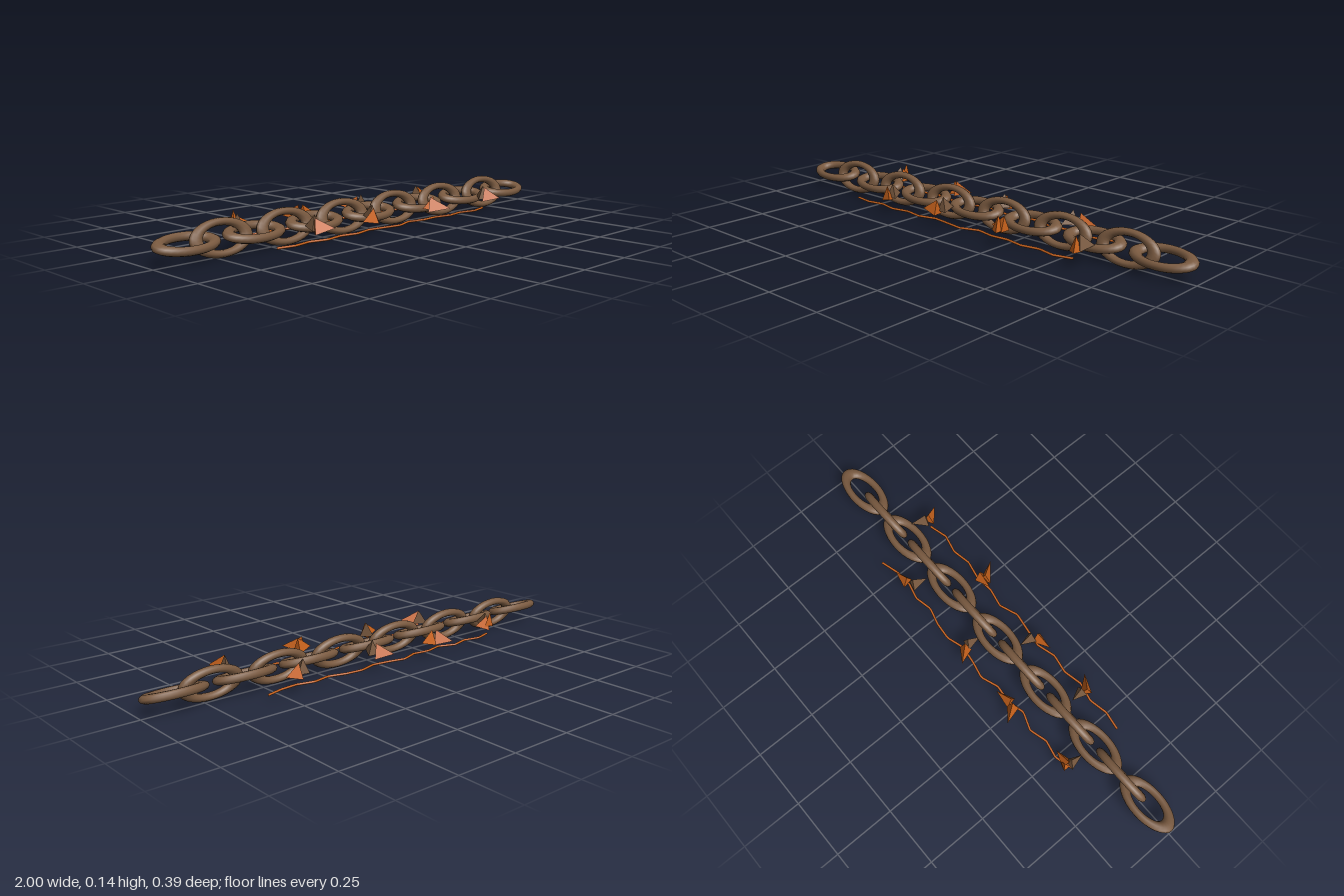
import * as THREE from 'three';

const iron = new THREE.MeshStandardMaterial({ color: 0x7a5a40 });
iron.name = 'weathered iron';
const rust = new THREE.MeshStandardMaterial({ color: 0xc8621c });
rust.name = 'rust';
// faceted versions of the same two colours for the barbs
const ironFacet = iron, rustFacet = rust;

// A sharp flat-faced shard from a base centre to a tip
function shard(base, tip, material, radius = 0.036) {
  const a = new THREE.Vector3(...base), b = new THREE.Vector3(...tip);
  const dir = b.clone().sub(a), length = dir.length();
  dir.normalize();
  // a tall, narrow three-sided section, kept upright around its axis
  let up = new THREE.Vector3(0, 1, 0);
  if (Math.abs(dir.y) > 0.8) up.set(1, 0, 0);
  const side = new THREE.Vector3().crossVectors(dir, up).normalize();
  up = new THREE.Vector3().crossVectors(side, dir);
  const geo = new THREE.ConeGeometry(radius, length, 3).toNonIndexed();
  geo.scale(0.75, 1, 1.1);
  geo.translate(0, length / 2, 0);
  geo.applyMatrix4(new THREE.Matrix4().makeBasis(side, dir, up.clone()).setPosition(a));
  // restore outward winding if the basis is mirrored
  if (new THREE.Matrix4().makeBasis(side, dir, up).determinant() < 0) {
    const p = geo.attributes.position;
    const u = new THREE.Vector3(), v = new THREE.Vector3();
    for (let i = 0; i < p.count; i += 3) {
      u.fromBufferAttribute(p, i + 1);
      v.fromBufferAttribute(p, i + 2);
      p.setXYZ(i + 1, v.x, v.y, v.z);
      p.setXYZ(i + 2, u.x, u.y, u.z);
    }
  }
  geo.computeVertexNormals();
  const mesh = new THREE.Mesh(geo, material);
  mesh.name = 'barb';
  return mesh;
}

// A thin kinked wire lying beside the chain
function wire(zs, name) {
  const path = new THREE.CurvePath();
  const pts = zs.map((z, i) => new THREE.Vector3(-0.577 + (1.154 * i) / (zs.length - 1), 0.026, z));
  for (let i = 1; i < pts.length; i++) path.add(new THREE.LineCurve3(pts[i - 1], pts[i]));
  const mesh = new THREE.Mesh(new THREE.TubeGeometry(path, 90, 0.005, 6), rust);
  mesh.name = name;
  return mesh;
}

export function createModel() {
  const model = new THREE.Group();
  model.name = 'barbedChain';

  // Chain of oval links, alternately lying and standing
  const chain = new THREE.Group();
  chain.name = 'chain';
  const linkGeo = new THREE.TorusGeometry(0.107, 0.027, 10, 32);
  linkGeo.scale(1, 0.525, 0.63);
  for (let i = -6; i <= 6; i++) {
    const link = new THREE.Mesh(linkGeo, iron);
    link.name = 'link';
    link.position.set(i * 0.1443, 0.0685, 0);
    link.rotation.x = THREE.MathUtils.degToRad(i % 2 ? -15 : 105);
    chain.add(link);
  }
  model.add(chain);

  // Front and back wires
  model.add(wire([0.122, 0.135, 0.12, 0.138, 0.122, 0.136, 0.115, 0.126, 0.138, 0.11,
    0.126, 0.12, 0.136, 0.122, 0.14, 0.12], 'frontWire'));
  model.add(wire([-0.115, -0.136, -0.12, -0.14, -0.112, -0.13, -0.12, -0.146, -0.13,
    -0.12, -0.142, -0.135, -0.115, -0.13, -0.112, -0.118, -0.138], 'backWire'));

  // Barb clusters: base, tip, colour
  const barbs = [
    // front side
    [[-0.38, 0.08, 0.11], [-0.385, 0.07, 0.055], ironFacet],
    [[-0.395, 0.07, 0.12], [-0.335, 0.07, 0.165], rustFacet],
    [[-0.085, 0.08, 0.11], [-0.08, 0.07, 0.05], ironFacet],
    [[-0.095, 0.07, 0.125], [-0.165, 0.065, 0.135], rustFacet],
    [[0.225, 0.075, 0.125], [0.275, 0.07, 0.195], rustFacet],
    [[0.255, 0.075, 0.12], [0.19, 0.07, 0.12], rustFacet],
    [[0.59, 0.08, 0.115], [0.62, 0.07, 0.055], ironFacet],
    [[0.585, 0.075, 0.12], [0.62, 0.07, 0.18], rustFacet],
    // back side
    [[-0.565, 0.08, -0.12], [-0.57, 0.07, -0.06], ironFacet],
    [[-0.56, 0.07, -0.125], [-0.495, 0.075, -0.125], rustFacet],
    [[-0.56, 0.07, -0.14], [-0.56, 0.128, -0.145], rustFacet, 0.022],
    [[-0.25, 0.07, -0.135], [-0.29, 0.067, -0.195], rustFacet],
    [[-0.235, 0.07, -0.13], [-0.165, 0.07, -0.145], rustFacet],
    [[0.06, 0.08, -0.11], [0.05, 0.07, -0.05], ironFacet],
    [[0.055, 0.07, -0.12], [0.01, 0.07, -0.175], rustFacet],
    [[0.4, 0.08, -0.115], [0.385, 0.07, -0.05], ironFacet],
    [[0.425, 0.07, -0.12], [0.49, 0.07, -0.13], rustFacet],
  ];
  const group = new THREE.Group();
  group.name = 'barbs';
  for (const b of barbs) group.add(shard(...b));
  model.add(group);
  return model;
}
